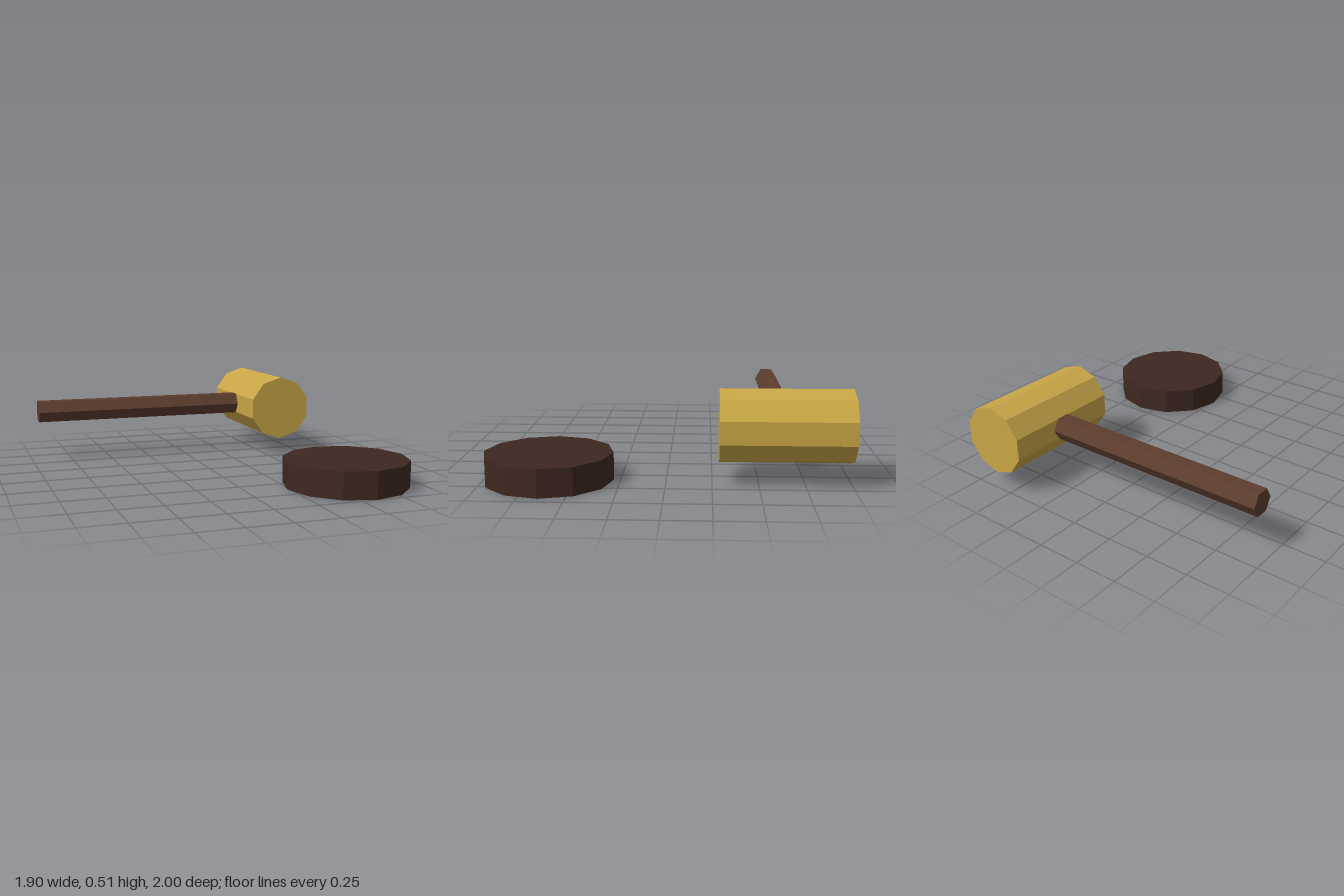
import * as THREE from 'three';

// Faceted solid prism running along the y axis
function prism(name, radius, length, sides, color) {
  const material = new THREE.MeshStandardMaterial({ color, flatShading: true });
  const mesh = new THREE.Mesh(new THREE.CylinderGeometry(radius, radius, length, sides), material);
  mesh.name = name;
  return mesh;
}

export function createModel() {
  const model = new THREE.Group();
  model.name = 'gavelAndBlock';

  const gavel = new THREE.Group();
  gavel.name = 'gavel';
  gavel.position.set(0.59, 0.31, -0.643);
  model.add(gavel);

  // Ten-sided head lying along z
  const head = prism('head', 0.203, 0.714, 10, 0xc9a646);
  head.rotation.x = Math.PI / 2;
  gavel.add(head);

  // Six-sided handle running along -x from inside the head
  const handleLength = 1.4;
  const handle = prism('handle', 0.075, handleLength, 6, 0x5c3d2e);
  handle.rotation.z = Math.PI / 2;
  handle.position.x = -1.54 + handleLength / 2;
  gavel.add(handle);

  // Twelve-sided sounding block
  const block = prism('soundBlock', 0.357, 0.155, 12, 0x3e2820);
  block.position.set(0.59, 0.0775, 0.643);
  model.add(block);

  return model;
}
